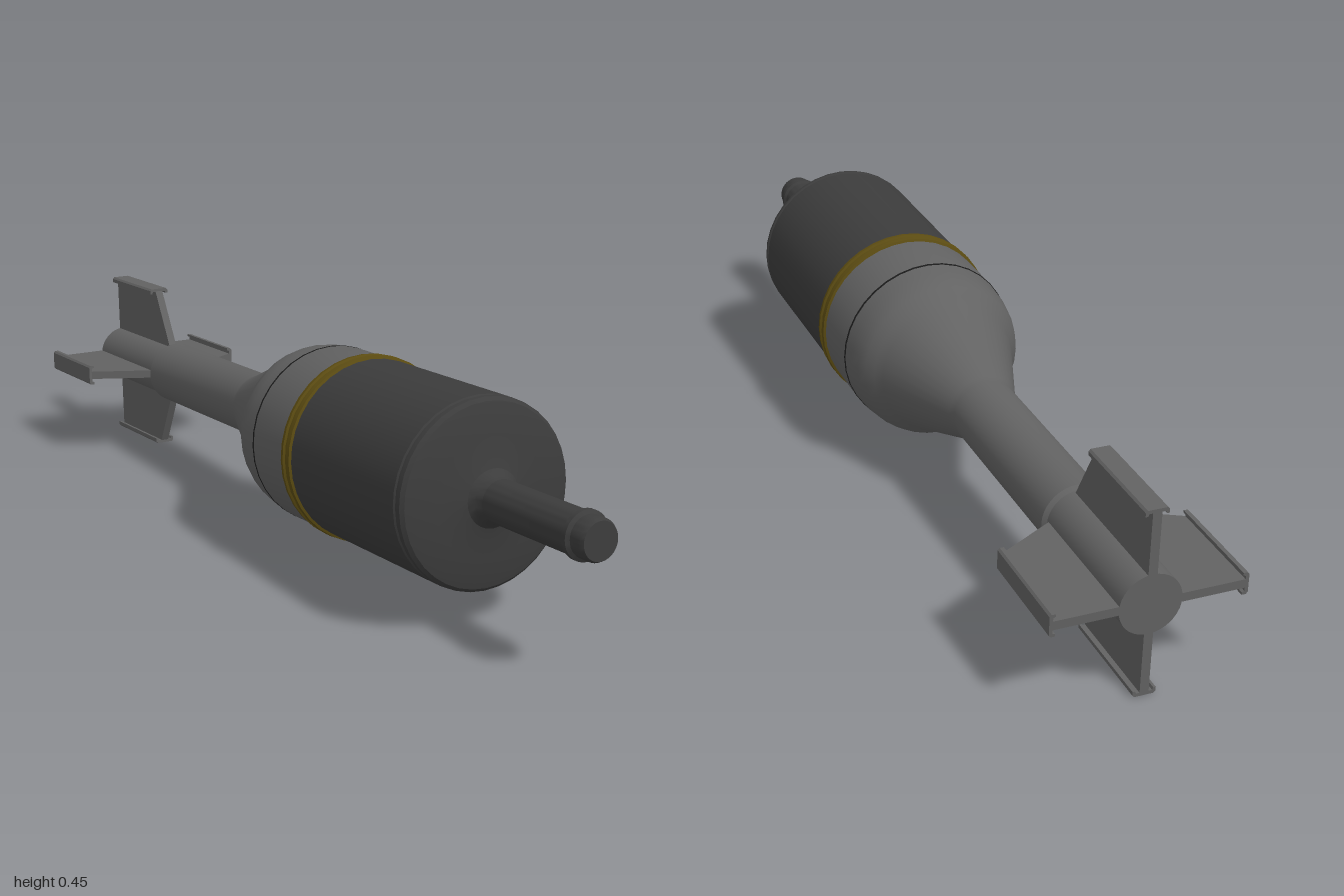
import * as THREE from 'three';
import { toCreasedNormals } from 'three/addons/utils/BufferGeometryUtils.js';

const material = (name, color) => new THREE.MeshStandardMaterial({ name, color });

export function createModel() {
  const dark = material('dark casing', 0x3c3c3c);
  const grey = material('grey steel', 0x626262);
  const olive = material('olive band', 0x5c4c12);
  const black = material('black seam', 0x1c1c1c);

  const model = new THREE.Group();
  model.name = 'finnedProjectile';

  const add = (name, geometry, mat, parent = model) => {
    const mesh = new THREE.Mesh(geometry, mat);
    mesh.name = name;
    parent.add(mesh);
    return mesh;
  };

  // Turned part along z; profile is [radius, z] from back to front
  const turned = (name, profile, mat) => {
    const geo = new THREE.LatheGeometry(profile.map(([r, z]) => new THREE.Vector2(r, z)), 36);
    geo.rotateX(Math.PI / 2);
    return add(name, toCreasedNormals(geo, 0.5), mat);
  };

  // Main casing with domed front face
  turned('casing', [
    [0.185, 0.2], [0.19, 0.205], [0.19, 0.625], [0.187, 0.628], [0.187, 0.634],
    [0.19, 0.637], [0.189, 0.645], [0.182, 0.652], [0.165, 0.657], [0.12, 0.664],
    [0.08, 0.669], [0.058, 0.675], [0.048, 0.685], [0.043, 0.7],
  ], dark);

  // Nose rod with collar and tip
  turned('noseRod', [
    [0.043, 0.7], [0.043, 0.945], [0.048, 0.95], [0.048, 0.96], [0.041, 0.965],
    [0.041, 0.992], [0.037, 1], [0, 1],
  ], dark);

  // Double-ridged band
  turned('band', [
    [0.188, 0.202], [0.195, 0.205], [0.196, 0.214], [0.192, 0.217], [0.192, 0.225],
    [0.196, 0.228], [0.195, 0.237], [0.188, 0.24],
  ], olive);

  // Rear casing, shoulder, taper and tail shaft
  turned('rearBody', [
    [0.062, -0.69], [0.07, -0.683], [0.07, -0.25], [0.074, -0.235], [0.148, -0.045],
    [0.16, -0.025], [0.174, -0.008], [0.182, 0.015], [0.187, 0.045], [0.189, 0.074],
    [0.19, 0.08], [0.19, 0.204],
  ], grey);
  turned('rearSeam', [[0.187, 0.074], [0.1905, 0.075], [0.1905, 0.079], [0.187, 0.08]], black);

  // Fin hub
  turned('finHub', [[0, -0.99], [0.062, -0.99], [0.062, -0.685]], grey);

  // Fin web outline in radius and z, and channel-shaped tip section
  const web = new THREE.Shape([
    [0.03, -0.99], [0.188, -0.99], [0.188, -0.765], [0.06, -0.695], [0.03, -0.695],
  ].map(([r, z]) => new THREE.Vector2(r, z)));
  const webGeo = new THREE.ExtrudeGeometry(web, { depth: 0.018, bevelEnabled: false });
  webGeo.translate(0, 0, -0.009).rotateX(Math.PI / 2);

  const tip = new THREE.Shape([
    [0.194, -0.019], [0.194, 0.019], [0.19, 0.023], [0.182, 0.023],
    [0.182, 0.018], [0.187, 0.016], [0.187, -0.016], [0.182, -0.018],
    [0.182, -0.023], [0.19, -0.023],
  ].map(([x, y]) => new THREE.Vector2(x, y)));
  const tipGeo = new THREE.ExtrudeGeometry(tip, { depth: 0.225, bevelEnabled: false });
  tipGeo.translate(0, 0, -0.99);

  // Four tail fins
  for (let i = 0; i < 4; i++) {
    const fin = new THREE.Group();
    fin.name = 'tailFin' + (i + 1);
    add('finWeb', webGeo, grey, fin);
    add('finTip', tipGeo, grey, fin);
    fin.rotation.z = i * Math.PI / 2;
    model.add(fin);
  }

  // Rest on the casing and tail with a slight upward tilt
  model.rotation.x = -0.0425;
  model.position.y = 0.2375;

  const root = new THREE.Group();
  root.name = 'projectile';
  root.add(model);
  return root;
}
